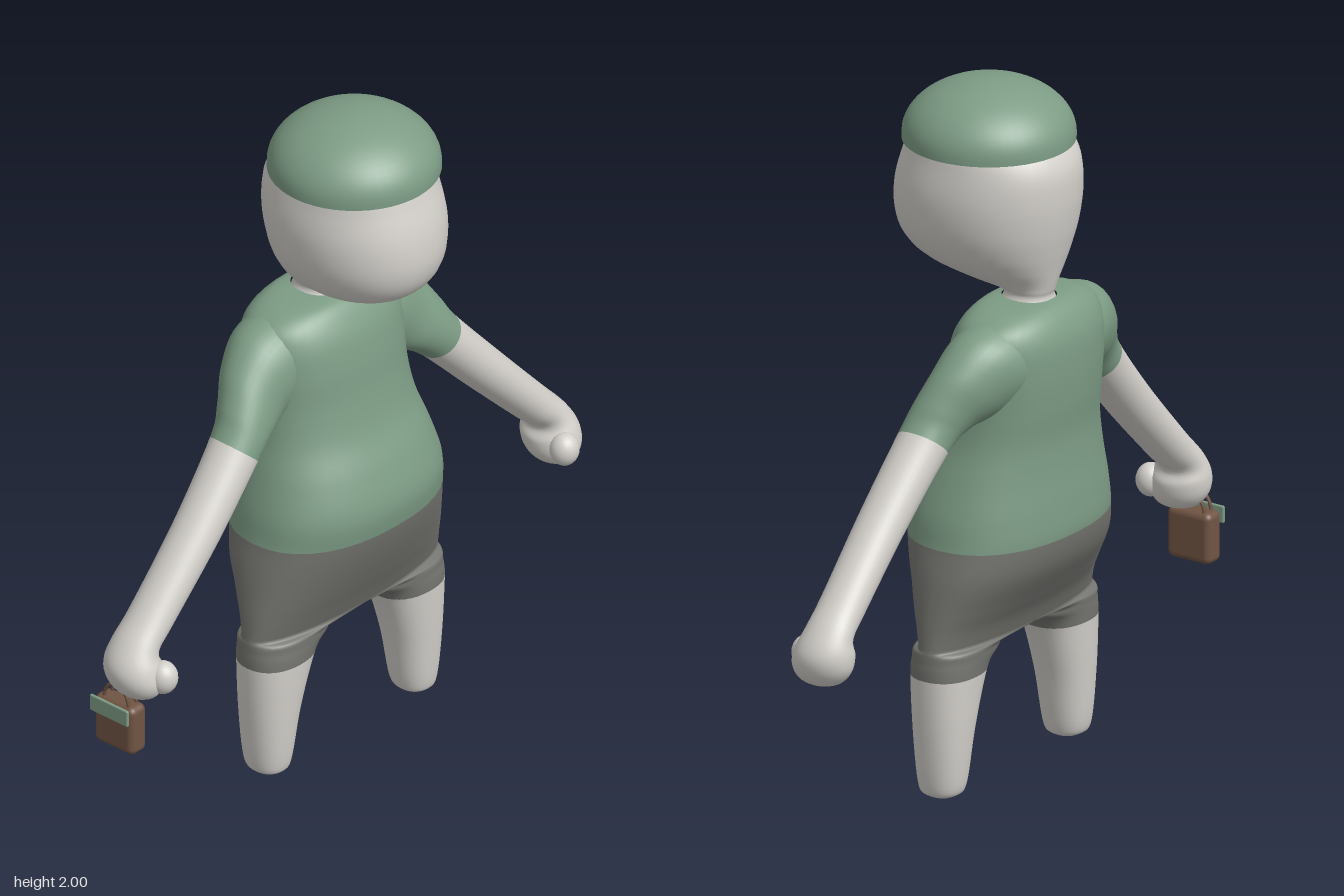
import * as THREE from 'three';
import { RoundedBoxGeometry } from 'three/addons/geometries/RoundedBoxGeometry.js';

const mat = (name, color) => {
  const m = new THREE.MeshStandardMaterial({ color });
  m.name = name;
  return m;
};

// Smooth interpolation between cross-section rows
function spline(rows, i, t) {
  const at = k => rows[Math.min(Math.max(k, 0), rows.length - 1)];
  const [a, b, c, d] = [at(i - 1), at(i), at(i + 1), at(i + 2)];
  return b.map((p, k) => p + 0.5 * t * (c[k] - a[k] +
    t * (2 * a[k] - 5 * p + 4 * c[k] - d[k] + t * (3 * (p - c[k]) + d[k] - a[k]))));
}

// Skin over oval sections [outerX, outerY, innerX, innerY, zFront, zBack].
// side = -1 mirrors; cuts are the rows where the next colour begins.
function loft(name, rows, mats, { side = 1, cuts = [], power = 1, minX = -9 } = {}) {
  const N = 36, SUB = 6, pos = [], index = [];
  const rings = (rows.length - 1) * SUB + 1;
  const soft = v => Math.sign(v) * Math.abs(v) ** power;
  for (let r = 0; r < rings; r++) {
    const i = Math.min(Math.floor(r / SUB), rows.length - 2);
    const [ox, oy, ix, iy, zf, zb] = spline(rows, i, r / SUB - i);
    for (let j = 0; j < N; j++) {
      const a = (j / N) * Math.PI * 2, c = soft(Math.cos(a)), s = soft(Math.sin(a));
      const x = (ox + ix) / 2 + c * (ox - ix) / 2;
      pos.push(side * Math.max(minX, x), (oy + iy) / 2 + c * (oy - iy) / 2, (zf + zb) / 2 + s * (zf - zb) / 2);
    }
  }
  for (let r = 0; r < rings - 1; r++) for (let j = 0; j < N; j++) {
    const a = r * N + j, b = r * N + (j + 1) % N, c = a + N, d = b + N;
    if (side > 0) index.push(a, c, b, b, c, d);
    else index.push(a, b, c, b, d, c);
  }
  const g = new THREE.BufferGeometry();
  g.setAttribute('position', new THREE.Float32BufferAttribute(pos, 3));
  g.setIndex(index);
  g.computeVertexNormals();
  const ends = [0, ...cuts, rows.length - 1].map(k => k * SUB * N * 6);
  mats.forEach((m, k) => g.addGroup(ends[k], ends[k + 1] - ends[k], k));
  const mesh = new THREE.Mesh(g, mats);
  mesh.name = name;
  return mesh;
}

export function createModel() {
  const skin = mat('pale skin', 0xd3d0cb);
  const green = mat('sage green', 0x7d9c85);
  const grey = mat('shorts grey', 0x757571);
  const brown = mat('bag brown', 0x705443);
  const model = new THREE.Group();
  model.name = 'figure';
  const add = (name, geo, m, x = 0, y = 0, z = 0, parent = model) => {
    const mesh = new THREE.Mesh(geo, m);
    mesh.name = name;
    mesh.position.set(x, y, z);
    parent.add(mesh);
    return mesh;
  };
  const centred = rows => rows.map(([w, y, f, b]) => [w, y, -w, y, f, b]);

  // Shorts and shirt
  model.add(loft('torso', centred([
    [0.373, 0.45, 0.06, -0.14], [0.37, 0.5, 0.082, -0.162], [0.364, 0.56, 0.11, -0.2],
    [0.352, 0.65, 0.147, -0.255], [0.335, 0.735, 0.172, -0.278],
    [0.323, 0.82, 0.18, -0.277], [0.297, 0.92, 0.15, -0.268], [0.27, 1.02, 0.105, -0.265],
    [0.26, 1.12, 0.08, -0.275], [0.262, 1.22, 0.066, -0.28], [0.258, 1.3, 0.048, -0.276],
    [0.235, 1.355, 0.02, -0.255], [0.17, 1.388, -0.01, -0.225], [0.07, 1.4, -0.045, -0.195],
  ]), [grey, green], { cuts: [4], power: 0.88 }));

  // Neck and head
  model.add(loft('head', centred([
    [0.085, 1.37, -0.03, -0.2], [0.065, 1.405, -0.05, -0.19], [0.07, 1.425, -0.03, -0.195],
    [0.1, 1.45, 0.1, -0.202], [0.15, 1.49, 0.205, -0.212], [0.19, 1.54, 0.26, -0.225],
    [0.218, 1.61, 0.284, -0.24], [0.228, 1.7, 0.28, -0.25], [0.218, 1.79, 0.255, -0.244],
    [0.2, 1.86, 0.225, -0.2], [0.14, 1.92, 0.14, -0.13], [0, 1.95, 0.01, 0.01],
  ]), [skin], { power: 0.93 }));

  // Cap: domed top with a flat underside
  const dome = [[0.24, 0], [0.24, 0.015]];
  for (let i = 1; i <= 16; i++) {
    const a = (i / 16) * Math.PI / 2;
    dome.push([0.24 * Math.cos(a), 0.015 + 0.155 * Math.sin(a)]);
  }
  add('cap', new THREE.LatheGeometry(dome.map(p => new THREE.Vector2(Math.max(p[0], 0), p[1])), 48), green, 0, 1.83, 0.015);
  add('capUnderside', new THREE.CircleGeometry(0.24, 48).rotateX(Math.PI / 2), green, 0, 1.83, 0.015);

  for (const side of [1, -1]) {
    const label = side > 0 ? 'left' : 'right';
    // Leg with the lower shorts, joining its twin at the crotch
    model.add(loft(label + 'Leg', [
      [0.292, 0, 0.292, 0, -0.035, -0.035], [0.335, 0.01, 0.25, 0.01, 0.01, -0.08],
      [0.353, 0.045, 0.232, 0.045, 0.03, -0.105], [0.368, 0.2, 0.202, 0.2, 0.045, -0.12],
      [0.376, 0.36, 0.145, 0.36, 0.057, -0.13], [0.375, 0.41, 0.09, 0.41, 0.058, -0.134],
      [0.374, 0.435, 0.03, 0.435, 0.059, -0.137], [0.373, 0.45, -0.373, 0.45, 0.06, -0.14],
      [0.37, 0.5, -0.37, 0.5, 0.08, -0.16],
    ], [skin, grey], { side, cuts: [4], power: 0.88, minX: 0 }));

    // Hand, arm and sleeve
    model.add(loft(label + 'Arm', [
      [0.845, 0.49, 0.845, 0.49, -0.02, -0.02], [0.887, 0.512, 0.795, 0.503, 0.04, -0.08],
      [0.912, 0.555, 0.77, 0.535, 0.062, -0.113], [0.912, 0.605, 0.762, 0.58, 0.055, -0.12],
      [0.875, 0.665, 0.772, 0.62, 0.035, -0.11], [0.8, 0.745, 0.715, 0.67, 0.03, -0.105],
      [0.625, 0.935, 0.53, 0.85, 0.03, -0.11], [0.462, 1.12, 0.355, 1.025, 0.02, -0.13],
      [0.415, 1.195, 0.275, 1.08, 0.01, -0.155], [0.36, 1.278, 0.2, 1.1, -0.003, -0.2],
      [0.275, 1.352, 0.1, 1.12, 0, -0.24], [0.15, 1.385, 0, 1.15, 0, -0.25],
    ], [skin, green], { side, cuts: [7] }));
    add(label + 'Thumb', new THREE.SphereGeometry(0.042, 20, 14).scale(1, 1.15, 1), skin, side * 0.808, 0.565, 0.05);
  }

  // Small bag hanging from the right hand
  const bag = new THREE.Group();
  bag.name = 'bag';
  bag.position.set(-0.872, 0.41, -0.05);
  model.add(bag);
  add('bagBody', new RoundedBoxGeometry(0.065, 0.15, 0.145, 4, 0.02), brown, 0, 0, 0, bag);
  for (const x of [-0.016, 0.016]) {
    const handle = add('bagHandle', new THREE.TorusGeometry(0.045, 0.005, 8, 20, Math.PI), brown, x, 0.07, 0, bag);
    handle.rotation.y = Math.PI / 2;
    handle.scale.y = 1.2;
  }
  add('bagTag', new RoundedBoxGeometry(0.01, 0.05, 0.14, 2, 0.004), green, -0.044, 0.055, 0, bag);
  add('tagLink', new THREE.BoxGeometry(0.022, 0.012, 0.02), brown, -0.034, 0.06, 0, bag);
  return model;
}
